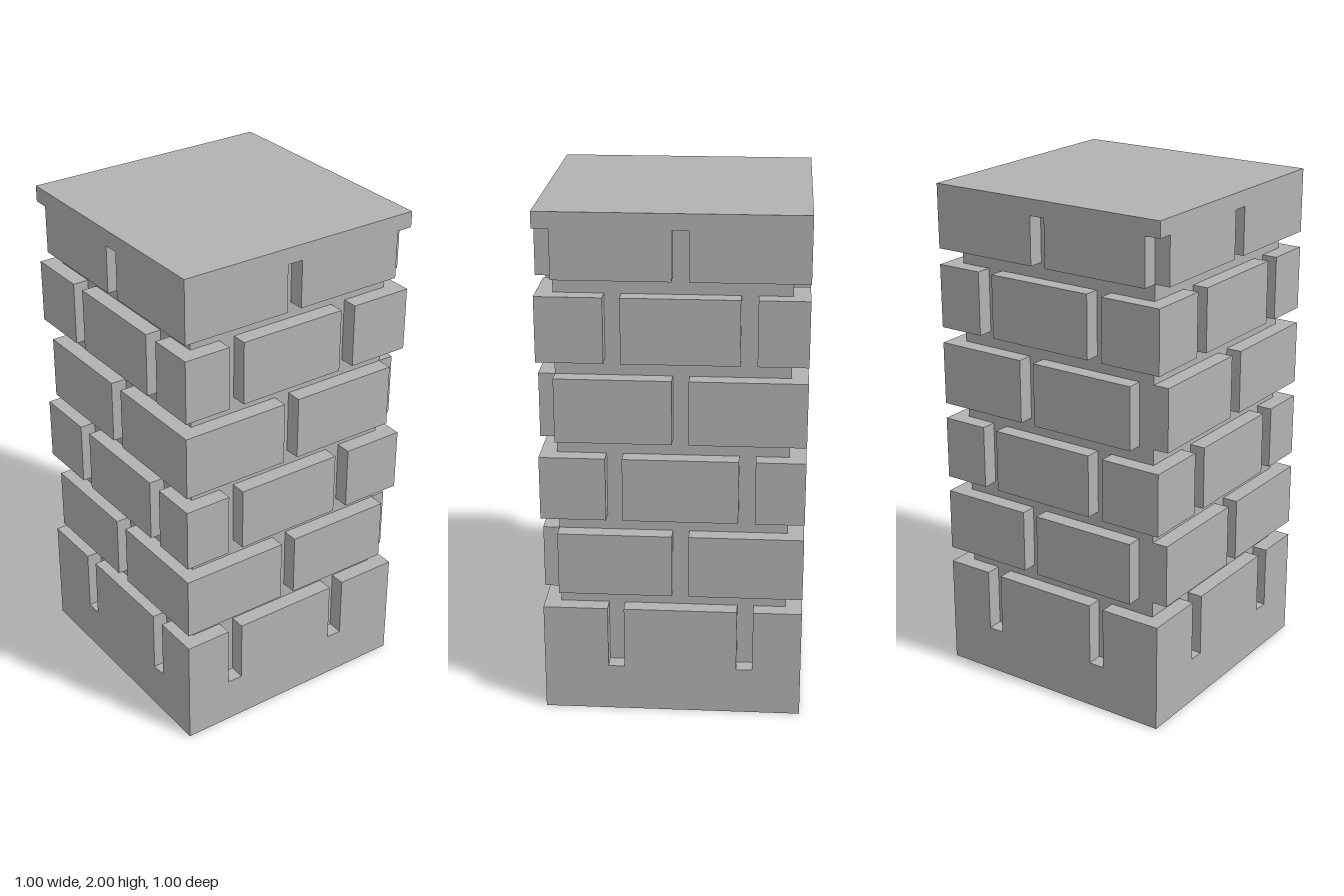
import * as THREE from 'three';

const U = 1 / 16; // modelling unit: one mortar joint

// Bricks on each side as [start, end], sides in order front, +x, back, -x
const a1 = [[-8, -4], [-3, 4], [5, 8]];
const a2 = [[-8, -5], [-4, 3], [4, 8]];
const b1 = [[-7, 0], [1, 8]];
const b2 = [[-8, -1], [0, 7]];
const threeBrick = [a1, a2, a1, a2];
const twoBrick = [b1, b2, b1, [[-8, -2], [-1, 6]]];
const topBrick = [b1, b2, b1, b2];

// Plan outline of a course: bricks stand one unit proud of the core
function courseShape(sides) {
  const pts = [];
  sides.forEach((bricks, k) => {
    const add = (u, d) => {
      let x = u, y = -d;
      for (let i = 0; i < k; i++) [x, y] = [-y, x];
      pts.push(new THREE.Vector2(x * U, y * U));
    };
    for (const [a, b] of bricks) {
      if (a > -8) add(a, 7);
      add(a, 8);
      if (b < 8) { add(b, 8); add(b, 7); }
    }
  });
  return new THREE.Shape(pts.filter((p, i) => !p.equals(pts.at(i - 1))));
}

export function createModel() {
  const group = new THREE.Group();
  const stone = new THREE.MeshStandardMaterial({ color: 0xb2b2b2 });
  stone.name = 'grey stone';

  const add = (name, geometry, y) => {
    const mesh = new THREE.Mesh(geometry, stone);
    mesh.name = name;
    mesh.position.y = y * U;
    group.add(mesh);
  };
  const slab = (name, width, y0, y1) =>
    add(name, new THREE.BoxGeometry(width * U, (y1 - y0) * U, width * U), (y0 + y1) / 2);
  const course = (name, sides, y0, y1) => {
    const geo = new THREE.ExtrudeGeometry(courseShape(sides), { depth: (y1 - y0) * U, bevelEnabled: false });
    add(name, geo.rotateX(-Math.PI / 2), y0);
  };

  // Solid plinth and cap
  slab('base', 16, 0, 3);
  slab('cap', 16, 31, 32);

  // Alternating brick courses with recessed mortar beds between them
  for (let i = 0; i < 5; i++) {
    const y = 3 + i * 5;
    course('brickCourse' + (i + 1), i % 2 ? twoBrick : threeBrick, y, y + 4);
    slab('mortarBed' + (i + 1), 14, y + 4, y + 5);
  }
  course('topBrickCourse', topBrick, 28, 31);

  return group;
}
